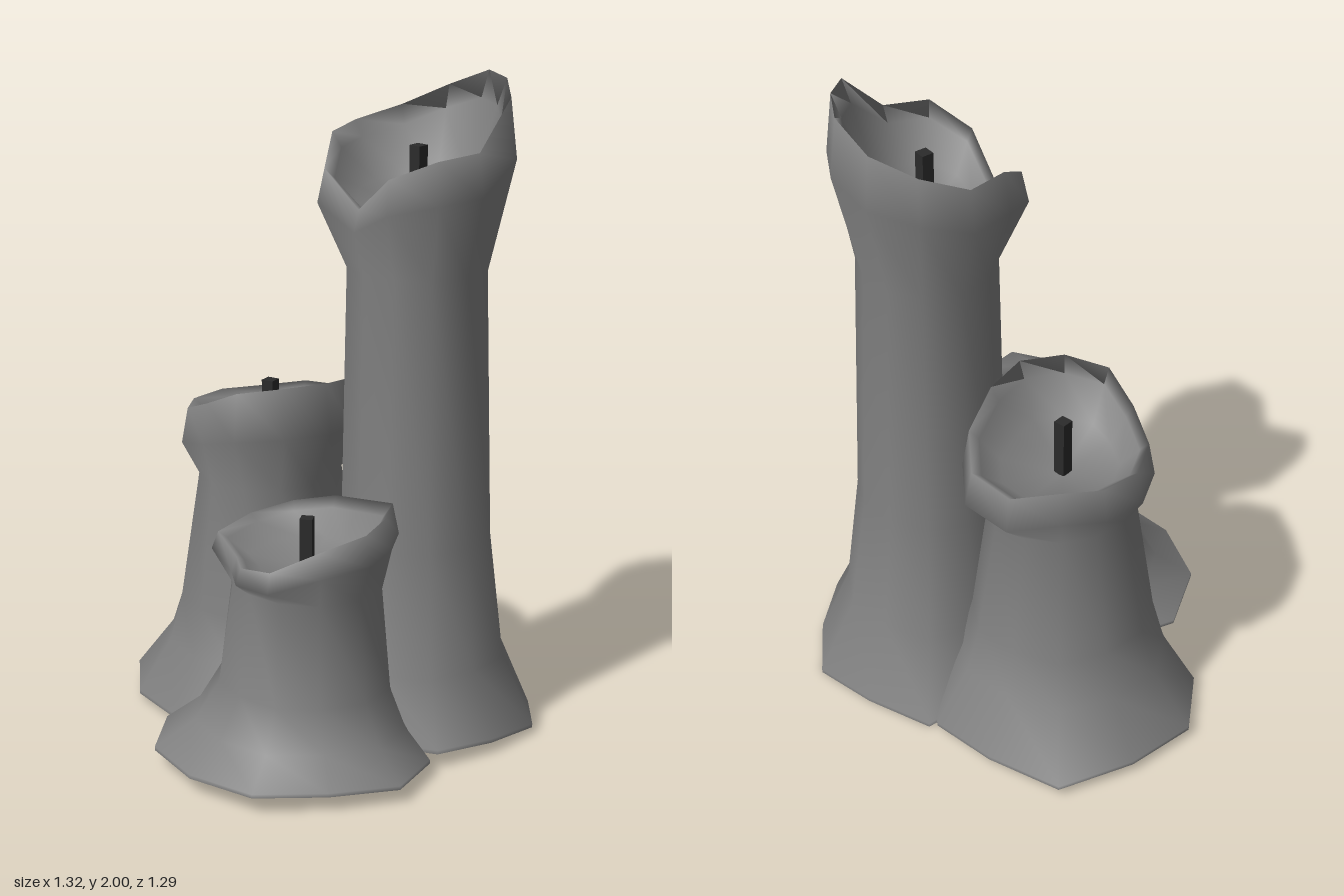
import * as THREE from 'three';
import { mergeVertices } from 'three/addons/utils/BufferGeometryUtils.js';

const SIDES = 12;

// Skin a stack of rings (each an array of [x, y, z]) with smooth normals
function loft(rings) {
  const index = [];
  for (let r = 0; r < rings.length - 1; r++) {
    for (let i = 0; i < SIDES; i++) {
      const a = r * SIDES + i, b = r * SIDES + (i + 1) % SIDES;
      index.push(a, a + SIDES, b + SIDES, a, b + SIDES, b);
    }
  }
  const geo = new THREE.BufferGeometry();
  geo.setAttribute('position', new THREE.Float32BufferAttribute(rings.flat(2), 3));
  geo.setIndex(index);
  const merged = mergeVertices(geo);
  merged.computeVertexNormals();
  return merged;
}

// One melted candle. foot, rim and lip hold the foot reach, rim reach and lip
// height every 30 degrees, starting at the left and turning by way of the front
function makeCandle(c, wax, char) {
  const { lerp } = THREE.MathUtils;
  const group = new THREE.Group();
  group.name = c.name;

  // Ring around the candle axis from a reach rule and a height rule (index, x, z)
  const ring = (reach, height) => Array.from({ length: SIDES }, (_, i) => {
    const a = (i / SIDES) * Math.PI * 2;
    const x = c.x + reach(i, a) * Math.cos(a), z = c.z + reach(i, a) * Math.sin(a);
    return [x, height(i, x, z), z];
  });
  const rimRing = (k, height) => ring((i) => c.rim[i] * k, (i) => height(c.lip[i]));

  // Foot on a slightly tilted plane
  const ground = (x, z) => c.bottom + c.tiltX * x + c.tiltZ * z;
  const footRing = (lift) => ring((i) => c.foot[i], (i, x, z) => ground(x, z) + lift);

  // Body: each step is a height and how far it spreads from neck to foot
  const neck = (a) => c.neck * (1 - c.squash * Math.sin(a) ** 2);
  const steps = c.flare.map(([y, spread]) => ring((i, a) => lerp(neck(a), c.foot[i], spread), () => y));

  // Swollen rim, lip and hollow bowl
  const top = [
    rimRing(1, (y) => lerp(c.rimLevel, y, 0.65) - c.drop),
    rimRing(0.93, (y) => y),
    rimRing(0.83, (y) => lerp(c.floor, y, 0.8)),
    rimRing(0.62, (y) => lerp(c.floor, y, 0.3)),
    ring(() => 0, () => c.floor),
  ];
  const body = new THREE.Mesh(loft([footRing(0), footRing(0.012), ...steps, ...top]), wax);
  body.name = 'waxBody';

  // Underside
  const centre = ring(() => 0, (i, x, z) => ground(x, z));
  const underside = new THREE.Mesh(loft([centre, footRing(0)]), wax);
  underside.name = 'waxUnderside';

  // Square wick, sunk a little into the bowl
  const length = c.wickTop - c.floor + 0.02;
  const wick = new THREE.Mesh(new THREE.BoxGeometry(0.038, length, 0.038), char);
  wick.name = 'wick';
  wick.position.set(c.x, c.wickTop - length / 2, c.z);
  wick.rotation.y = c.wickTurn;

  group.add(body, underside, wick);
  return group;
}

export function createModel() {
  const wax = new THREE.MeshStandardMaterial({ color: 0x808080 });
  wax.name = 'greyWax';
  const char = new THREE.MeshStandardMaterial({ color: 0x2b2b2b });
  char.name = 'charredWick';

  const model = new THREE.Group();
  model.name = 'candleCluster';

  model.add(makeCandle({
    name: 'tallCandle', x: 0.205, z: -0.24, neck: 0.222, squash: 0.06,
    bottom: 0.038, tiltX: 0.02, tiltZ: 0.065,
    flare: [[0.24, 0.42], [0.62, 0.14], [1.45, 0]],
    foot: [0.365, 0.4, 0.36, 0.29, 0.31, 0.33, 0.36, 0.455, 0.39, 0.41, 0.37, 0.39],
    rim: [0.285, 0.305, 0.275, 0.245, 0.3, 0.29, 0.31, 0.28, 0.3, 0.295, 0.28, 0.3],
    lip: [1.83, 1.82, 1.76, 1.65, 1.75, 1.83, 1.84, 1.88, 1.94, 2, 2, 1.97],
    rimLevel: 1.83, drop: 0.13, floor: 1.6, wickTop: 1.81, wickTurn: 0.15,
  }, wax, char));

  model.add(makeCandle({
    name: 'middleCandle', x: -0.21, z: -0.01, neck: 0.21, squash: -0.08,
    bottom: 0.015, tiltX: -0.02, tiltZ: 0,
    flare: [[0.2, 0.5], [0.35, 0.3], [0.75, 0]],
    foot: [0.42, 0.4, 0.41, 0.385, 0.42, 0.46, 0.45, 0.505, 0.43, 0.44, 0.4, 0.36],
    rim: [0.29, 0.29, 0.29, 0.26, 0.275, 0.275, 0.265, 0.25, 0.325, 0.33, 0.3, 0.27],
    lip: [1.09, 1.09, 1.07, 1.01, 0.96, 0.95, 0.95, 0.95, 0.95, 0.96, 1, 1.07],
    rimLevel: 0.99, drop: 0.12, floor: 0.85, wickTop: 1.04, wickTurn: 0.35,
  }, wax, char));

  model.add(makeCandle({
    name: 'shortCandle', x: 0.23, z: 0.2, neck: 0.243, squash: 0.12,
    bottom: 0.03, tiltX: 0.01, tiltZ: 0.03,
    flare: [[0.14, 0.5], [0.26, 0.18], [0.57, 0]],
    foot: [0.43, 0.4, 0.44, 0.44, 0.46, 0.46, 0.38, 0.36, 0.3, 0.27, 0.32, 0.39],
    rim: [0.29, 0.265, 0.315, 0.265, 0.225, 0.305, 0.29, 0.29, 0.26, 0.23, 0.275, 0.265],
    lip: [0.78, 0.74, 0.69, 0.66, 0.65, 0.68, 0.7, 0.72, 0.75, 0.77, 0.79, 0.79],
    rimLevel: 0.72, drop: 0.07, floor: 0.6, wickTop: 0.76, wickTurn: 0.7,
  }, wax, char));

  return model;
}
